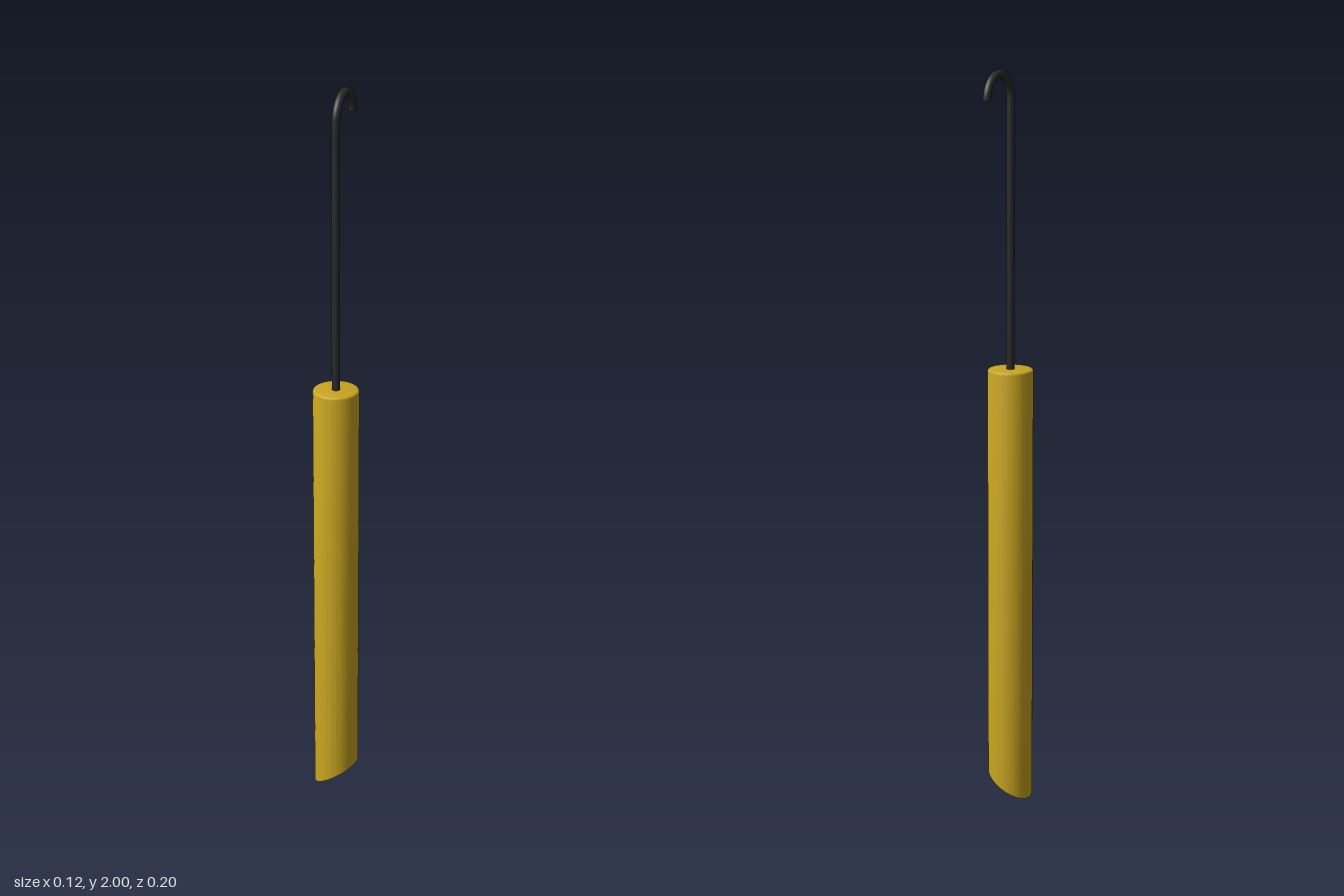
import * as THREE from 'three';
import { toCreasedNormals } from 'three/addons/utils/BufferGeometryUtils.js';

const AXIS_Z = 0.036; // shared axis of handle and rod

// Hollow handle: closed, softly rounded top and a slanted open bottom
function makeHandle() {
  const r = 0.061, top = 1.212, bevel = 0.006;
  const profile = [new THREE.Vector2(r, 0)];
  for (let i = 0; i <= 4; i++) {
    const a = (i / 4) * Math.PI / 2;
    profile.push(new THREE.Vector2(r - bevel + bevel * Math.cos(a), top - bevel + bevel * Math.sin(a)));
  }
  profile.push(new THREE.Vector2(0, top));
  const geo = new THREE.LatheGeometry(profile, 64);

  // Slant the bottom rim, higher on the +x side
  const p = geo.attributes.position;
  for (let i = 0; i < p.count; i++) {
    if (p.getY(i) < 0.001) p.setY(i, 0.0375 * (1 + p.getX(i) / r));
  }
  const mat = new THREE.MeshStandardMaterial({ color: 0xc9a520, side: THREE.DoubleSide });
  const handle = new THREE.Mesh(toCreasedNormals(geo, 0.5), mat);
  handle.name = 'handle';
  handle.position.z = AXIS_Z;
  return handle;
}

// Straight rod that bends backward into a half-circle hook
function makeHook() {
  const wire = 0.011, bend = 0.0625, bendY = 2 - wire - bend;
  const path = new THREE.CurvePath();
  const at = (a) => new THREE.Vector3(0, bendY + bend * Math.sin(a), AXIS_Z - bend + bend * Math.cos(a));
  path.add(new THREE.LineCurve3(new THREE.Vector3(0, 1.2, AXIS_Z), at(0)));
  const arc = [];
  for (let i = 0; i <= 16; i++) arc.push(at((i / 16) * Math.PI));
  path.add(new THREE.CatmullRomCurve3(arc));

  const mat = new THREE.MeshStandardMaterial({ color: 0x2b2b2b });
  const hook = new THREE.Group();
  hook.name = 'hook';
  const rod = new THREE.Mesh(new THREE.TubeGeometry(path, 160, wire, 20), mat);
  rod.name = 'hookRod';

  // Flat end of the wire
  const tip = new THREE.Mesh(new THREE.CircleGeometry(wire, 20), mat);
  tip.name = 'hookTip';
  tip.rotation.x = Math.PI / 2;
  tip.position.copy(at(Math.PI));
  hook.add(rod, tip);
  return hook;
}

export function createModel() {
  const model = new THREE.Group();
  model.name = 'hookTool';
  model.add(makeHandle(), makeHook());
  return model;
}
